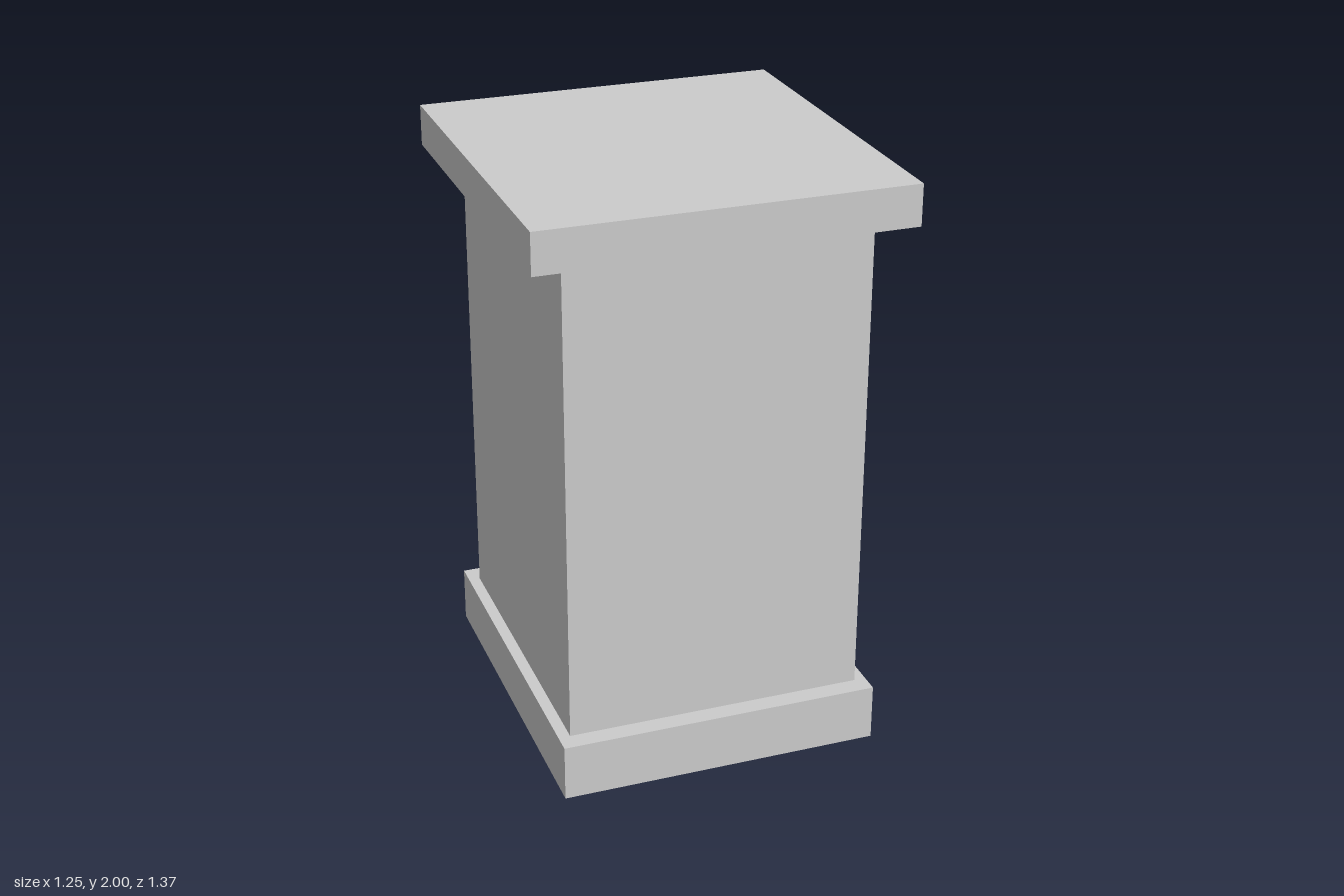
import * as THREE from 'three';

const material = new THREE.MeshStandardMaterial({ color: 0xcccccc, flatShading: true });

function add(parent, name, geometry, x = 0, y = 0, z = 0) {
  const mesh = new THREE.Mesh(geometry, material);
  mesh.name = name;
  mesh.position.set(x, y, z);
  parent.add(mesh);
  return mesh;
}

// Box given by half width and its y and z ranges
function slab(parent, name, halfX, y0, y1, z0, z1) {
  const geometry = new THREE.BoxGeometry(halfX * 2, y1 - y0, z1 - z0);
  return add(parent, name, geometry, 0, (y0 + y1) / 2, (z0 + z1) / 2);
}

function rectangle(PathType, halfX, y0, y1) {
  return new PathType([
    new THREE.Vector2(-halfX, y0), new THREE.Vector2(halfX, y0),
    new THREE.Vector2(halfX, y1), new THREE.Vector2(-halfX, y1),
  ]);
}

const extrude = (shape, depth) => new THREE.ExtrudeGeometry(shape, { depth, bevelEnabled: false });

export function createModel() {
  const model = new THREE.Group();
  model.name = 'nightstand';
  const openZ = -0.51, innerZ = 0.41;

  // Plinth, top board and closed wall
  slab(model, 'plinth', 0.55, 0, 0.195, -0.585, 0.665);
  slab(model, 'topBoard', 0.627, 1.86, 2, -0.61, 0.685);
  slab(model, 'closedWall', 0.51, 0.195, 1.86, innerZ, 0.6);

  // Carcass with lower compartment, drawer slot and upper compartment
  const frame = rectangle(THREE.Shape, 0.51, 0.195, 1.86);
  frame.holes.push(
    rectangle(THREE.Path, 0.41, 0.285, 0.607),
    rectangle(THREE.Path, 0.35, 0.764, 0.94),
    rectangle(THREE.Path, 0.41, 1.085, 1.81),
  );
  add(model, 'carcass', extrude(frame, innerZ - openZ), 0, 0, openZ);

  // Drawer, set slightly back in its slot
  slab(model, 'drawer', 0.35, 0.764, 0.94, openZ + 0.014, innerZ);

  // Fallen shelf leaning across the upper compartment
  const board = new THREE.Shape([
    new THREE.Vector2(0.342, 1.087), new THREE.Vector2(0.372, 1.162),
    new THREE.Vector2(-0.41, 1.479), new THREE.Vector2(-0.41, 1.4),
  ]);
  add(model, 'fallenShelf', extrude(board, innerZ - openZ - 0.004), 0, 0, openZ + 0.003);

  // Loose, drooping knob: its local -z points outwards
  const knob = new THREE.Group();
  knob.name = 'knob';
  knob.position.set(0.005, 0.828, -0.632);
  knob.rotation.x = -0.4;
  model.add(knob);
  const head = new THREE.IcosahedronGeometry(0.082, 0);
  head.rotateZ(0.4);
  head.scale(0.95, 0.95, 0.62);
  add(knob, 'knobHead', head);
  const stem = new THREE.CylinderGeometry(0.031, 0.031, 0.07, 6);
  stem.rotateX(Math.PI / 2);
  add(knob, 'knobStem', stem, 0, 0, 0.069);

  // Pin that holds the knob to the drawer
  slab(model, 'knobPin', 0.01, 0.85, 0.868, -0.55, -0.49);

  return model;
}
